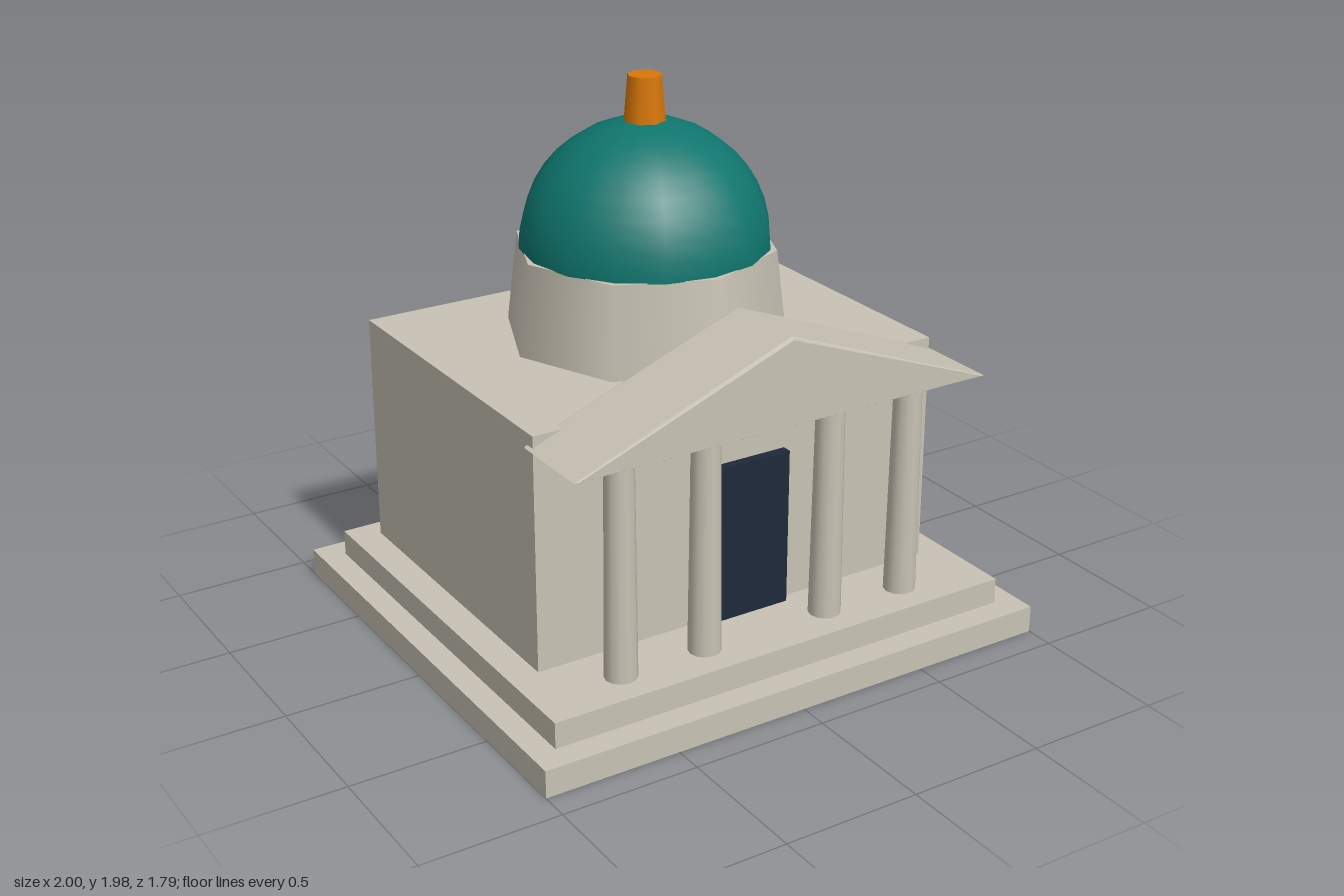
import * as THREE from 'three';

export function createModel() {
  const model = new THREE.Group();
  const material = (name, color) => {
    const m = new THREE.MeshStandardMaterial({ color });
    m.name = name;
    return m;
  };
  const stone = material('stone', 0xc8c2b4);
  const teal = material('teal', 0x0f766e);
  const amber = material('amber', 0xd97706);
  const navy = material('navy', 0x1e293b);

  const add = (name, geometry, mat, x, y, z) => {
    const mesh = new THREE.Mesh(geometry, mat);
    mesh.name = name;
    mesh.position.set(x, y, z);
    model.add(mesh);
    return mesh;
  };
  // Box given by its width, vertical range and depth range
  const block = (name, mat, w, y0, y1, z0, z1) =>
    add(name, new THREE.BoxGeometry(w, y1 - y0, z1 - z0), mat, 0, (y0 + y1) / 2, (z0 + z1) / 2);

  // Steps, hall and door
  block('lowerStep', stone, 2, 0, 0.1, -0.895, 0.895);
  block('upperStep', stone, 1.82, 0.1, 0.195, -0.8, 0.8);
  block('hall', stone, 1.6, 0.195, 1.05, -0.715, 0.495);
  block('door', navy, 0.36, 0.195, 0.775, 0.48, 0.53);

  // Portico columns
  const columnGeometry = new THREE.CylinderGeometry(0.05, 0.058, 0.805, 12);
  for (const x of [-0.58, -0.25, 0.25, 0.58]) {
    add('column', columnGeometry, stone, x, 0.5975, 0.66);
  }

  // Pediment with slightly bevelled edges
  const gable = new THREE.Shape([
    new THREE.Vector2(-0.8, 0),
    new THREE.Vector2(0.8, 0),
    new THREE.Vector2(0, 0.3),
  ]);
  const pediment = new THREE.ExtrudeGeometry(gable, {
    depth: 0.31, bevelThickness: 0.01, bevelSize: 0.01, bevelSegments: 2,
  });
  add('pediment', pediment, stone, 0, 1.005, 0.465);

  // Drum, dome and finial on one axis
  const axisZ = -0.115;
  add('drum', new THREE.CylinderGeometry(0.47, 0.51, 0.33, 8), stone, 0, 1.215, axisZ);
  add('dome', new THREE.SphereGeometry(0.447, 16, 10, 0, Math.PI * 2, 0, Math.PI / 2), teal, 0, 1.378, axisZ);
  add('finial', new THREE.CylinderGeometry(0.061, 0.075, 0.17, 8), amber, 0, 1.895, axisZ);

  return model;
}
